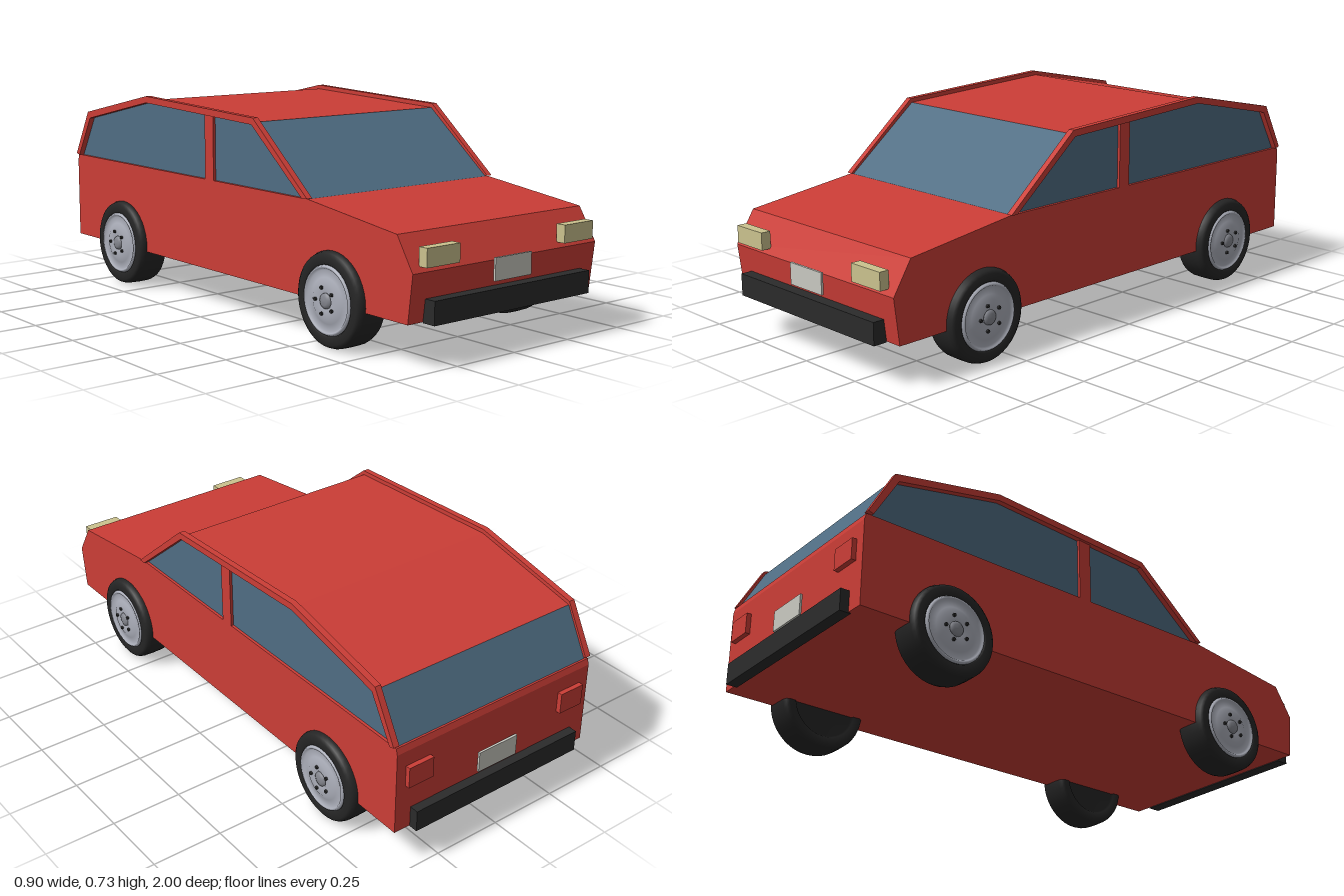
import * as THREE from 'three';

const mat = (name, color, side = THREE.FrontSide) => {
  const m = new THREE.MeshStandardMaterial({ color, side });
  m.name = name;
  return m;
};

export function createModel() {
  const car = new THREE.Group();
  car.name = 'hatchbackCar';
  const red = mat('bodyRed', 0xcb3d36);
  const glass = mat('glassBlue', 0x4f6d83, THREE.DoubleSide);
  const black = mat('bumperBlack', 0x2b2b2b);
  const lamp = mat('headlightCream', 0xcbc28e);
  const plateMat = mat('plateGrey', 0xc9c9c1);
  const rubber = mat('tyreBlack', 0x252525);
  const alloy = mat('rimSilver', 0xabaeb9);
  const hubGrey = mat('hubGrey', 0x85878f);

  const add = (name, geo, material, parent = car) => {
    const mesh = new THREE.Mesh(geo, material);
    mesh.name = name;
    parent.add(mesh);
    return mesh;
  };
  // box given by its limits on each axis
  const box = (name, material, x0, x1, y0, y1, z0, z1) =>
    add(name, new THREE.BoxGeometry(x1 - x0, y1 - y0, z1 - z0), material)
      .position.set((x0 + x1) / 2, (y0 + y1) / 2, (z0 + z1) / 2);
  // side profile of [z, y] points, extruded across x0..x1
  const profile = (pts, x0, x1) => {
    const shape = new THREE.Shape(pts.map(([z, y]) => new THREE.Vector2(-z, y)));
    return new THREE.ExtrudeGeometry(shape, { depth: x1 - x0, bevelEnabled: false })
      .rotateY(Math.PI / 2).translate(x0, 0, 0);
  };

  // lower body with sloping bonnet
  add('lowerBody', profile([
    [0.95, 0.143], [0.97, 0.30], [0.90, 0.41], [0.48, 0.462],
    [-0.962, 0.462], [-0.968, 0.44], [-0.968, 0.143],
  ], -0.41, 0.41), red);

  // cabin panels, front to back
  const W = 0.4;
  const line = [[0.478, 0.462], [0.198, 0.685], [-0.45, 0.712], [-0.866, 0.625], [-0.955, 0.462]];
  const panels = [['windscreen', glass], ['roofFront', red], ['roofRear', red], ['rearWindow', glass]];
  panels.forEach(([name, material], i) => {
    const [az, ay] = line[i], [bz, by] = line[i + 1];
    const geo = new THREE.BufferGeometry();
    geo.setAttribute('position', new THREE.Float32BufferAttribute(
      [W, ay, az, W, by, bz, -W, by, bz, -W, ay, az], 3));
    geo.setIndex([0, 1, 2, 0, 2, 3]);
    geo.computeVertexNormals();
    add(name, geo, material);
  });

  // outer and inner edges of the rails framing the side windows
  const outer = [[0.487, 0.465], [0.202, 0.700], [-0.45, 0.727], [-0.868, 0.638], [-0.962, 0.468]];
  const inner = [[-0.942, 0.462], [-0.853, 0.615], [-0.45, 0.703], [0.194, 0.677], [0.462, 0.462]];
  for (const s of [1, -1]) {
    const side = s > 0 ? 'left' : 'right';
    const span = (a, b) => (s > 0 ? [a, b] : [-b, -a]);
    const sideGlass = new THREE.ShapeGeometry(
      new THREE.Shape(line.map(([z, y]) => new THREE.Vector2(-z, y))));
    add(side + 'SideWindows', sideGlass.rotateY(Math.PI / 2).translate(s * W, 0, 0), glass);
    add(side + 'RoofRail', profile([...outer, ...inner], ...span(0.398, 0.42)), red);
    box(side + 'DoorPillar', red, ...span(0.395, 0.41), 0.46, 0.693, -0.09, -0.04);
    box(side + 'Headlight', lamp, ...span(0.235, 0.372), 0.317, 0.377, 0.955, 0.99);
    box(side + 'TailLight', red, ...span(0.275, 0.373), 0.31, 0.385, -0.985, -0.96);
  }

  // bumpers and number plates
  box('frontBumper', black, -0.348, 0.348, 0.14, 0.216, 0.95, 1);
  box('rearBumper', black, -0.348, 0.348, 0.14, 0.216, -1, -0.96);
  box('frontPlate', plateMat, -0.081, 0.081, 0.237, 0.311, 0.982, 0.99);
  box('rearPlate', plateMat, -0.081, 0.081, 0.237, 0.311, -0.986, -0.978);

  // wheels: axis along local y, outer face at +y
  const lathe = (pts) => new THREE.LatheGeometry(pts.map(([r, h]) => new THREE.Vector2(r, h)), 40);
  const tyreGeo = lathe([[0, -0.05], [0.112, -0.05], [0.118, -0.058], [0.142, -0.059], [0.152, -0.052],
    [0.157, -0.038], [0.158, 0], [0.157, 0.038], [0.152, 0.052], [0.142, 0.059], [0.118, 0.06], [0.112, 0.052]]);
  const rimGeo = lathe([[0.114, 0.054], [0.11, 0.062], [0.104, 0.062], [0.098, 0.054],
    [0.075, 0.058], [0.06, 0.066], [0.03, 0.066], [0.026, 0.062], [0, 0.062]]);
  const hubGeo = lathe([[0.026, 0.06], [0.024, 0.067], [0.014, 0.071], [0, 0.072]]);
  const lugGeo = new THREE.CylinderGeometry(0.006, 0.006, 0.014, 6);
  for (const s of [1, -1]) {
    for (const [end, z] of [['front', 0.605], ['rear', -0.632]]) {
      const wheel = new THREE.Group();
      wheel.name = end + (s > 0 ? 'Left' : 'Right') + 'Wheel';
      wheel.position.set(s * 0.377, 0.158, z);
      wheel.rotation.z = -s * Math.PI / 2;
      add('tyre', tyreGeo, rubber, wheel);
      add('rim', rimGeo, alloy, wheel);
      add('hubCap', hubGeo, hubGrey, wheel);
      for (let i = 0; i < 5; i++) {
        const a = (i / 5) * Math.PI * 2 + s * Math.PI / 2;
        add('wheelNut', lugGeo, black, wheel)
          .position.set(Math.cos(a) * 0.044, 0.066, Math.sin(a) * 0.044);
      }
      car.add(wheel);
    }
  }
  return car;
}
